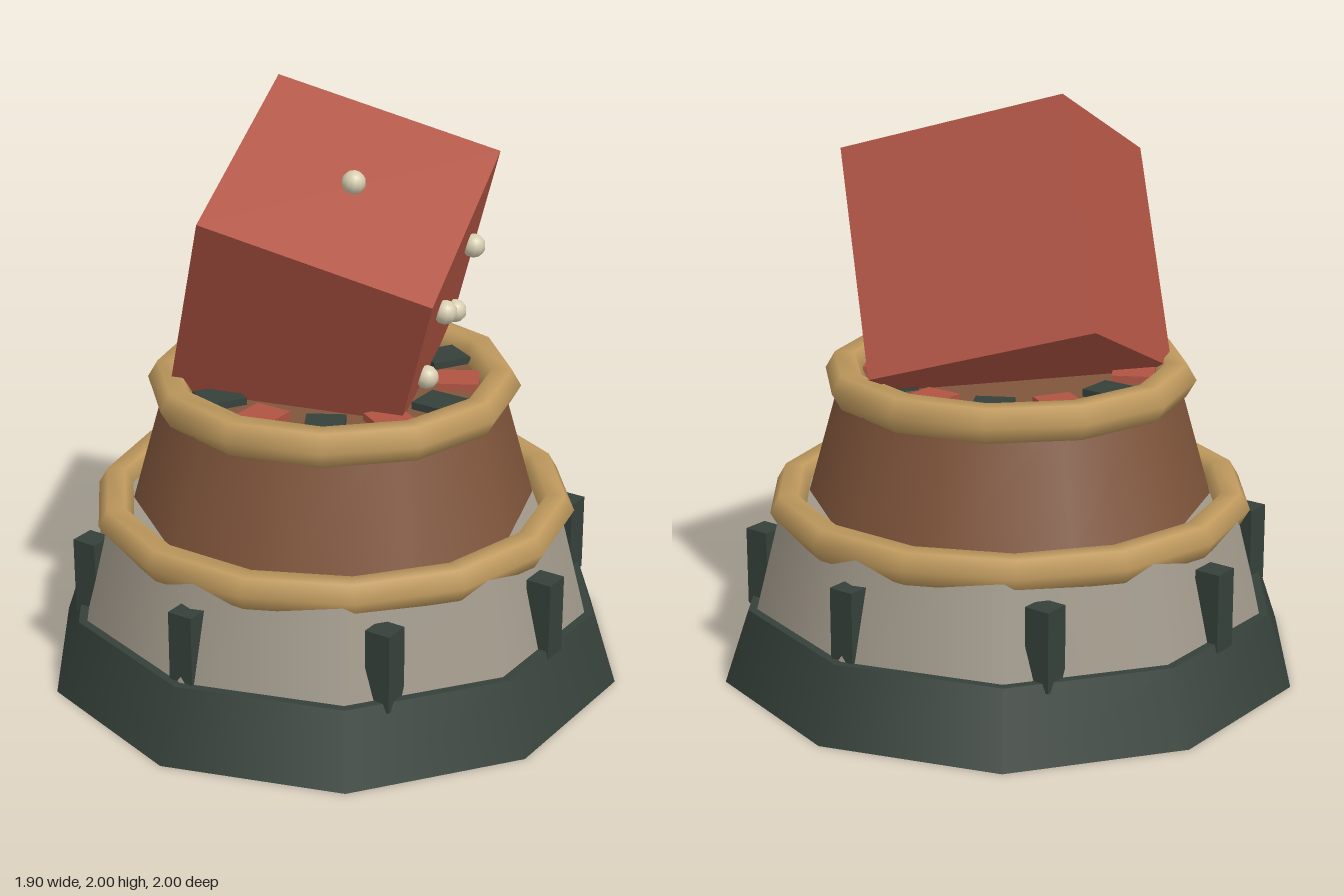
import * as THREE from 'three';

const mat = (name, color) => {
  const m = new THREE.MeshStandardMaterial({ color });
  m.name = name;
  return m;
};

export function createModel() {
  const model = new THREE.Group();
  const darkIron = mat('dark iron', 0x36413a);
  const stone = mat('stone', 0xa0988a);
  const wood = mat('brown wood', 0x80553b);
  const brass = mat('brass', 0xc09a5e);
  const red = mat('red', 0xb05443);
  const ivory = mat('ivory', 0xd6ccb0);

  const add = (parent, name, geometry, material, x = 0, y = 0, z = 0) => {
    const mesh = new THREE.Mesh(geometry, material);
    mesh.name = name;
    mesh.position.set(x, y, z);
    parent.add(mesh);
    return mesh;
  };

  // Ten-sided tapered tier standing between two heights
  const tier = (name, material, rTop, rBottom, y0, y1, turn = 0) => {
    const g = new THREE.CylinderGeometry(rTop, rBottom, y1 - y0, 10);
    add(model, name, g, material, 0, (y0 + y1) / 2).rotation.y = turn;
  };
  tier('base', darkIron, 0.915, 1, 0, 0.25);
  tier('stoneTier', stone, 0.8, 0.885, 0.25, 0.58);
  tier('woodTier', wood, 0.568, 0.685, 0.58, 1.0, Math.PI / 10);

  // Brass rings around the tier tops
  const ring = (name, radius, tube, sides, y) => {
    const g = new THREE.TorusGeometry(radius, tube, 6, sides);
    add(model, name, g, brass, 0, y).rotation.x = Math.PI / 2;
  };
  ring('lowerRing', 0.762, 0.063, 14, 0.573);
  ring('upperRing', 0.565, 0.066, 12, 1.0);

  // Eight square posts around the stone tier
  const postGeometry = new THREE.BoxGeometry(0.09, 0.27, 0.09);
  for (let i = 0; i < 8; i++) {
    const a = (i * Math.PI) / 4;
    add(model, 'post', postGeometry, darkIron, Math.cos(a) * 0.835, 0.355, Math.sin(a) * 0.835);
  }

  // Alternating blocks set inside the upper ring
  const blockGeometry = new THREE.BoxGeometry(0.14, 0.05, 0.13);
  for (let i = 0; i < 12; i++) {
    const a = (i * Math.PI) / 6;
    const block = add(model, 'block', blockGeometry, i % 2 ? red : darkIron,
      Math.cos(a) * 0.42, 1.0, Math.sin(a) * 0.42);
    block.rotation.y = -a;
  }

  // Tilted die with one pip on top and four on its left side
  const die = new THREE.Group();
  die.name = 'die';
  die.position.set(0, 1.395, 0);
  die.rotation.set(0.41, 0.225, -0.4);
  model.add(die);
  add(die, 'dieBody', new THREE.BoxGeometry(0.78, 0.78, 0.78), red);
  const pipGeometry = new THREE.SphereGeometry(0.04, 10, 8);
  add(die, 'topPip', pipGeometry, ivory, 0, 0.41, 0);
  for (const y of [-0.16, 0.16]) {
    for (const z of [-0.165, 0.165]) add(die, 'sidePip', pipGeometry, ivory, 0.41, y, z);
  }

  return model;
}
